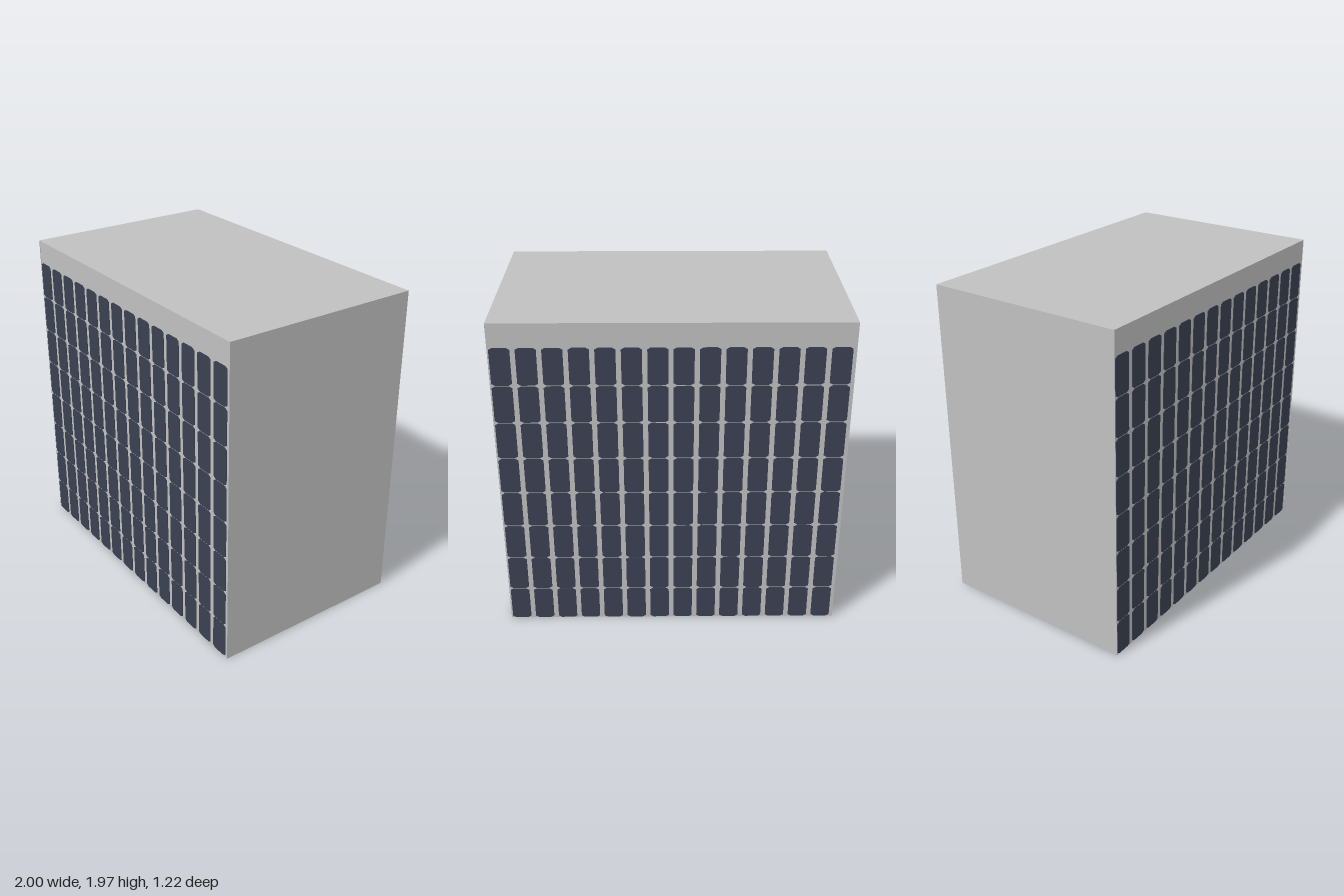
import * as THREE from 'three';

const W = 2, H = 1.97, D = 1.22;
const COLS = 14, ROWS = 8, PITCH_X = W / COLS, PITCH_Y = 0.2293;

// One dark pane with cut corners
function paneShape(x, y, w, h) {
  const cx = 0.019, cy = 0.011;
  return new THREE.Shape([
    [x + cx, y], [x + w - cx, y], [x + w, y + cy], [x + w, y + h - cy],
    [x + w - cx, y + h], [x + cx, y + h], [x, y + h - cy], [x, y + cy],
  ].map(([a, b]) => new THREE.Vector2(a, b)));
}

export function createModel() {
  const grey = new THREE.MeshStandardMaterial({ color: 0xc0c0c0, side: THREE.DoubleSide });
  grey.name = 'light grey shell';
  const navy = new THREE.MeshStandardMaterial({ color: 0x3b4052 });
  navy.name = 'dark navy panes';

  const model = new THREE.Group();
  model.name = 'panelledBlock';

  const sheet = (name, w, h) => {
    const mesh = new THREE.Mesh(new THREE.PlaneGeometry(w, h), grey);
    mesh.name = name;
    return mesh;
  };

  // Grid of panes, thick enough to show on both faces of the wall
  const shapes = [];
  for (let c = 0; c < COLS; c++) {
    for (let r = 0; r < ROWS; r++) {
      shapes.push(paneShape(-W / 2 + 0.008 + c * PITCH_X, 0.003 + r * PITCH_Y - (r ? 0.005 : 0),
        0.114, PITCH_Y - 0.005 - (r ? 0 : 0.005)));
    }
  }
  const paneGeometry = new THREE.ExtrudeGeometry(shapes, { depth: 0.006, bevelEnabled: false });
  paneGeometry.translate(0, 0, -0.003);

  // Front and back walls with their panes
  for (const [name, turn] of [['frontWall', 0], ['backWall', Math.PI]]) {
    const wall = new THREE.Group();
    wall.name = name;
    const face = sheet(name + 'Sheet', W, H);
    face.position.set(0, H / 2, D / 2 - 0.003);
    const panes = new THREE.Mesh(paneGeometry, navy);
    panes.name = name + 'Panes';
    panes.position.z = D / 2 - 0.003;
    wall.add(face, panes);
    wall.rotation.y = turn;
    model.add(wall);
  }

  // Plain side walls
  for (const [name, s] of [['leftWall', 1], ['rightWall', -1]]) {
    const side = sheet(name, D, H);
    side.position.set(s * W / 2, H / 2, 0);
    side.rotation.y = s * Math.PI / 2;
    model.add(side);
  }

  // Flat roof; the underside stays open
  const roof = sheet('roof', W, D);
  roof.position.y = H;
  roof.rotation.x = -Math.PI / 2;
  model.add(roof);

  return model;
}
